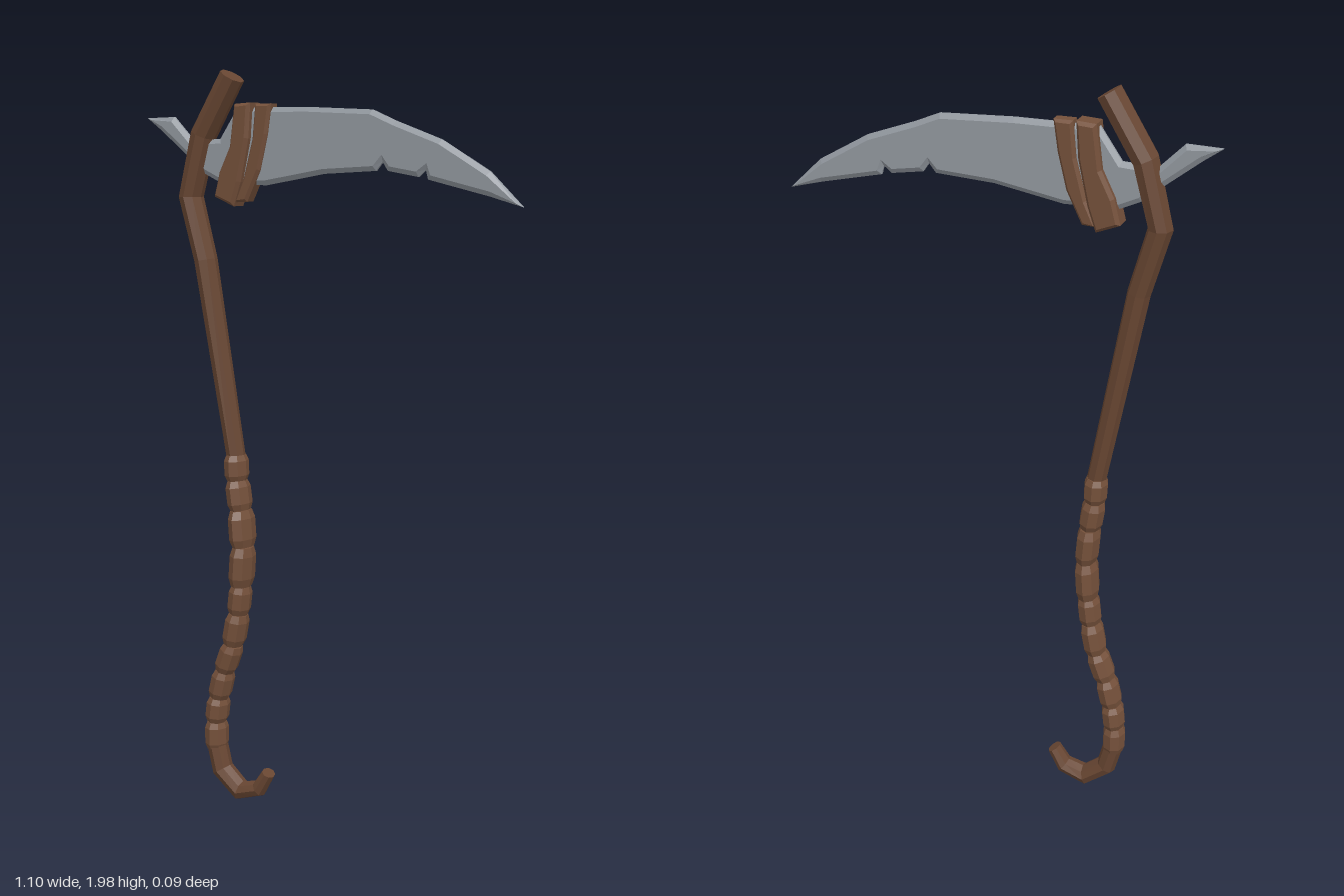
import * as THREE from 'three';

const wood = new THREE.MeshStandardMaterial({ color: 0x74503a, flatShading: true });
const darkWood = new THREE.MeshStandardMaterial({ color: 0x684632, flatShading: true });
const steel = new THREE.MeshStandardMaterial({ color: 0x92989f, flatShading: true });

// Eight-sided rod through rows of [x, y, width radius, depth radius], listed top to bottom
function rod(name, rows, material) {
  const n = rows.length - 1;
  const geo = new THREE.CylinderGeometry(1, 1, 1, 8, n);
  const pos = geo.attributes.position;
  for (let i = 0; i < pos.count; i++) {
    const k = Math.round((0.5 - pos.getY(i)) * n);
    const [x, y, rx, rz] = rows[k];
    const a = rows[Math.max(k - 1, 0)], b = rows[Math.min(k + 1, n)];
    const up = new THREE.Vector2(a[0] - b[0], a[1] - b[1]).normalize();
    const s = pos.getX(i) * rx;
    pos.setXYZ(i, x + up.y * s, y - up.x * s, pos.getZ(i) * rz);
  }
  geo.computeVertexNormals();
  const mesh = new THREE.Mesh(geo, material);
  mesh.name = name;
  return mesh;
}

// Flat outline in the xy plane, thickened evenly about z = 0 with chamfered edges
function plate(name, points, halfDepth, chamferDepth, chamferWidth, material) {
  const shape = new THREE.Shape(points.map(([x, y]) => new THREE.Vector2(x, y)));
  const depth = 2 * (halfDepth - chamferDepth);
  const geo = new THREE.ExtrudeGeometry(shape, {
    depth, bevelEnabled: true, bevelSegments: 1,
    bevelThickness: chamferDepth, bevelSize: chamferWidth, bevelOffset: -chamferWidth,
  });
  geo.translate(0, 0, -depth / 2);
  const mesh = new THREE.Mesh(geo, material);
  mesh.name = name;
  return mesh;
}

export function createModel() {
  const group = new THREE.Group();
  group.name = 'scythe';

  // Bent shaft
  group.add(rod('shaft', [
    [-0.278, 1.968, 0.032, 0.037],
    [-0.37, 1.82, 0.033, 0.038],
    [-0.413, 1.66, 0.031, 0.037],
    [-0.368, 1.495, 0.029, 0.035],
    [-0.275, 0.96, 0.025, 0.027],
  ], darkWood));

  // Wrapped grip: one bulging band between each pair of joints
  const joints = [
    [-0.278, 0.98], [-0.275, 0.91], [-0.264, 0.83], [-0.257, 0.73], [-0.265, 0.62], [-0.275, 0.54],
    [-0.293, 0.45], [-0.323, 0.37], [-0.343, 0.29], [-0.352, 0.22], [-0.352, 0.14],
  ];
  const bandDepths = [0.038, 0.04, 0.047, 0.045, 0.036, 0.039, 0.037, 0.037, 0.038, 0.037];
  const grip = new THREE.Group();
  grip.name = 'grip';
  bandDepths.forEach((rz, i) => {
    const [a, b] = [joints[i], joints[i + 1]];
    const rx = 0.031;
    grip.add(rod('gripBand', [[0, 0.8], [0.22, 1], [0.78, 1], [1, 0.8]].map(([t, s]) =>
      [a[0] + (b[0] - a[0]) * t, a[1] + (b[1] - a[1]) * t, rx * s, rz * s]), wood));
  });
  group.add(grip);

  // Curled hook at the foot
  group.add(rod('hook', [
    [-0.352, 0.16, 0.027, 0.032],
    [-0.333, 0.082, 0.028, 0.032],
    [-0.272, 0.031, 0.028, 0.031],
    [-0.21, 0.05, 0.023, 0.028],
    [-0.18, 0.1, 0.018, 0.023],
  ], darkWood));

  // Blade with a curved spine, two nicks in the edge and a rear spike
  group.add(plate('blade', [
    [-0.55, 1.865], [-0.505, 1.833], [-0.415, 1.762], [-0.365, 1.72], [-0.31, 1.695], [-0.175, 1.692],
    [0, 1.722], [0.15, 1.73], [0.168, 1.752], [0.183, 1.73], [0.268, 1.716], [0.288, 1.733],
    [0.294, 1.71], [0.458, 1.672], [0.546, 1.648], [0.46, 1.73], [0.33, 1.805], [0.205, 1.85],
    [0.138, 1.878], [-0.05, 1.887], [-0.26, 1.888], [-0.315, 1.81], [-0.4, 1.805], [-0.462, 1.867],
  ], 0.011, 0.008, 0.012, steel));

  // Two bands lashing the blade
  group.add(plate('innerBand', [
    [-0.257, 1.897], [-0.272, 1.79], [-0.305, 1.725], [-0.322, 1.662], [-0.262, 1.638],
    [-0.24, 1.7], [-0.215, 1.81], [-0.208, 1.9],
  ], 0.032, 0.01, 0.008, wood));
  group.add(plate('outerBand', [
    [-0.198, 1.897], [-0.207, 1.81], [-0.235, 1.71], [-0.262, 1.648], [-0.225, 1.65],
    [-0.185, 1.73], [-0.162, 1.82], [-0.15, 1.897],
  ], 0.022, 0.008, 0.007, wood));

  return group;
}
